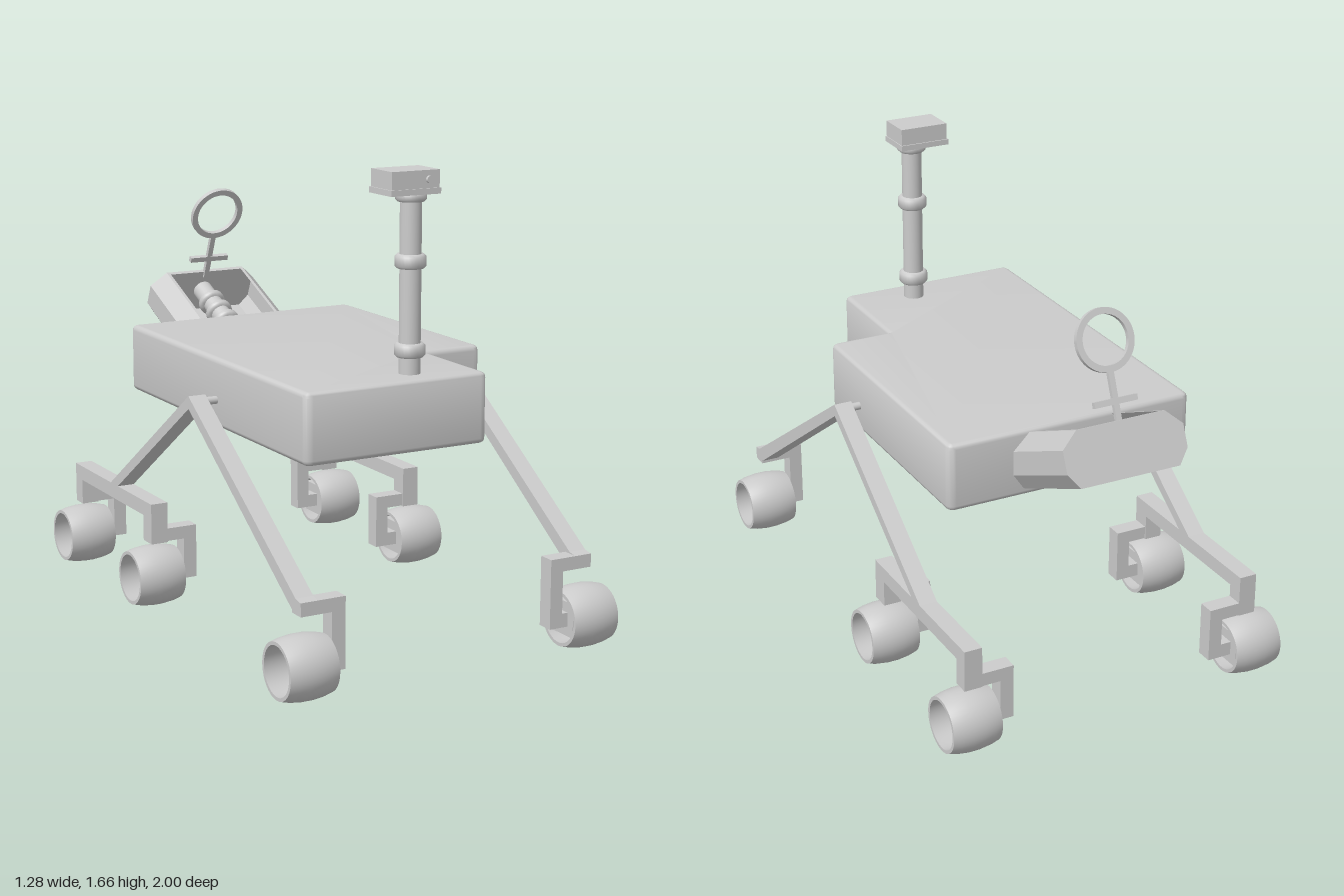
import * as THREE from 'three';
import { toCreasedNormals } from 'three/addons/utils/BufferGeometryUtils.js';

export function createModel() {
  const model = new THREE.Group();
  const grey = new THREE.MeshStandardMaterial({ color: 0xcccccc, side: THREE.DoubleSide });

  const add = (name, geometry, parent = model) => {
    const mesh = new THREE.Mesh(geometry, grey);
    mesh.name = name;
    parent.add(mesh);
    return mesh;
  };
  const box = (x0, x1, y0, y1, z0, z1) =>
    new THREE.BoxGeometry(Math.abs(x1 - x0), y1 - y0, z1 - z0)
      .translate((x0 + x1) / 2, (y0 + y1) / 2, (z0 + z1) / 2);
  const polygon = (pts) => new THREE.Shape(pts.map(([x, y]) => new THREE.Vector2(x, y)));
  const extrude = (shape, depth) => new THREE.ExtrudeGeometry(shape, { depth, bevelEnabled: false });
  const cylinder = (r, y0, y1, seg = 28) =>
    new THREE.CylinderGeometry(r, r, y1 - y0, seg).translate(0, (y0 + y1) / 2, 0);
  // collar with softened rims
  const collar = (r, y0, y1) => toCreasedNormals(new THREE.LatheGeometry([
    [0, y0], [r - 0.008, y0], [r, y0 + 0.008], [r, y1 - 0.008], [r - 0.008, y1], [0, y1],
  ].map(([x, y]) => new THREE.Vector2(x, y)), 28), 0.9);

  // polygon with rounded corners
  const roundedPolygon = (pts, r) => {
    const p = pts.map(([x, y]) => new THREE.Vector2(x, y));
    const shape = new THREE.Shape();
    p.forEach((c, i) => {
      const prev = p[(i + p.length - 1) % p.length], next = p[(i + 1) % p.length];
      const a = c.clone().add(prev.clone().sub(c).setLength(r));
      const b = c.clone().add(next.clone().sub(c).setLength(r));
      if (i) shape.lineTo(a.x, a.y); else shape.moveTo(a.x, a.y);
      shape.quadraticCurveTo(c.x, c.y, b.x, b.y);
    });
    shape.closePath();
    return shape;
  };

  // Body: slab with one front corner cut away, rounded edges
  const bevel = 0.018;
  const outline = roundedPolygon([
    [-0.442, -0.742], [0.222, -0.742], [0.222, -0.342],
    [0.452, -0.342], [0.452, 0.592], [-0.442, 0.592],
  ], 0.012);
  const body = new THREE.ExtrudeGeometry(outline, {
    depth: 0.245 - 2 * bevel, bevelThickness: bevel, bevelSize: bevel, bevelSegments: 4, curveSegments: 4,
  }).rotateX(-Math.PI / 2).translate(0, 0.735 + bevel, 0);
  add('body', toCreasedNormals(body, 0.7));

  // Mast with collars and camera head
  const mast = new THREE.Group();
  mast.name = 'mast';
  mast.position.set(0, 0, 0.643);
  model.add(mast);
  add('mastPole', cylinder(0.037, 0.97, 1.58), mast);
  [[1.037, 1.085], [1.337, 1.385], [1.56, 1.595]].forEach(([a, b]) =>
    add('mastCollar', collar(0.053, a, b), mast));
  add('headTray', box(-0.118, 0.073, 1.588, 1.608, -0.073, 0.07), mast);
  add('cameraHead', box(-0.113, 0.07, 1.606, 1.668, -0.068, 0.065), mast);
  add('cameraLens', cylinder(0.013, 0.06, 0.075, 20).rotateX(Math.PI / 2).translate(0.03, 1.637, 0), mast);

  // Wheel: open barrel ring around the x axis
  const wheelGeometry = toCreasedNormals(new THREE.LatheGeometry([
    [0.086, -0.09], [0.098, -0.09], [0.106, -0.06], [0.111, -0.02], [0.111, 0.02],
    [0.106, 0.06], [0.098, 0.09], [0.086, 0.09], [0.092, 0], [0.086, -0.09],
  ].map(([x, y]) => new THREE.Vector2(x, y)), 40).rotateZ(-Math.PI / 2), 0.7);

  // Suspension, mirrored left and right
  for (const side of [1, -1]) {
    const suspension = new THREE.Group();
    suspension.name = side > 0 ? 'leftSuspension' : 'rightSuspension';
    model.add(suspension);
    const bar = (name, x0, x1, ...yz) => add(name, box(side * x0, side * x1, ...yz), suspension);
    const plate = (name, pts) => add(name, extrude(polygon(pts), 0.065)
      .rotateY(-Math.PI / 2).translate(side > 0 ? 0.567 : -0.502, 0, 0), suspension);

    plate('rockerArm', [
      [0.915, 0.297], [0.915, 0.34], [0.885, 0.346], [0.11, 0.857],
      [-0.585, 0.385], [-0.52, 0.385], [0.11, 0.812], [0.87, 0.297],
    ]);
    plate('rearBogie', [
      [-0.215, 0.39], [-0.915, 0.39], [-0.915, 0.24], [-0.855, 0.24],
      [-0.855, 0.335], [-0.285, 0.335], [-0.285, 0.24], [-0.215, 0.24],
    ]);
    add('pivot', cylinder(0.014, 0.42, 0.52, 16).rotateZ(-side * Math.PI / 2)
      .translate(0, 0.833, 0.11), suspension);

    // wheel, its bracket and its hub: [wheel z, bracket z, inner x, bracket top]
    [[0.89, 0.89, 0.402, 0.34], [-0.25, -0.25, 0.385, 0.29], [-0.885, -0.885, 0.385, 0.29]]
      .forEach(([wz, bz, x, top]) => {
        const z0 = bz - 0.03, z1 = bz + 0.03;
        bar('bracketTop', x, 0.567, top - 0.047, top, z0, z1);
        bar('bracketPost', x, x + 0.05, 0.092, top, z0, z1);
        bar('bracketFoot', x, 0.5, 0.092, 0.142, z0, z1);
        bar('wheelHub', 0.475, 0.525, 0.057, 0.178, wz - 0.062, wz + 0.062);
        add('wheel', wheelGeometry, suspension).position.set(side * 0.55, 0.115, wz);
      });
  }

  // Tilted open housing at the back
  const housing = new THREE.Group();
  housing.name = 'rearHousing';
  housing.position.set(0.003, 1.108, -0.922);
  housing.rotation.x = 0.42;
  model.add(housing);
  const half = [[0.165, 0], [0.225, -0.055], [0.225, -0.135], [0.185, -0.188]];
  const inner = [[0.153, 0], [0.211, -0.06], [0.211, -0.13], [0.18, -0.174]];
  const mirror = (pts) => pts.map(([x, y]) => [-x, y]).reverse();
  add('housingShell', extrude(polygon([
    ...half, ...mirror(half), ...inner.map(([x, y]) => [-x, y]), ...[...inner].reverse(),
  ]), 0.45), housing);
  add('housingEnd', extrude(polygon([...half, ...mirror(half)]), 0.016), housing);

  // Ribbed generator inside the housing
  const generator = new THREE.Group();
  generator.name = 'generator';
  generator.position.set(0, -0.085, 0);
  generator.rotation.x = Math.PI / 2;
  housing.add(generator);
  add('generatorCore', cylinder(0.038, 0.01, 0.44), generator);
  [0.09, 0.16, 0.23, 0.3, 0.37].forEach((y) =>
    add('generatorRib', collar(0.052, y, y + 0.032), generator));

  // Ring antenna on a leaning stem
  const antenna = new THREE.Group();
  antenna.name = 'ringAntenna';
  antenna.position.set(0.003, 1.09, -0.912);
  antenna.rotation.x = 0.39;
  model.add(antenna);
  add('antennaStem', box(-0.01, 0.01, -0.01, 0.18, -0.008, 0.008), antenna);
  add('antennaCrossbar', box(-0.08, 0.08, 0.065, 0.085, -0.009, 0.009), antenna);
  const ring = new THREE.Shape().absarc(0, 0, 0.106, 0, Math.PI * 2);
  ring.holes.push(new THREE.Path().absarc(0, 0, 0.084, 0, Math.PI * 2, true));
  add('antennaRing', toCreasedNormals(new THREE.ExtrudeGeometry(ring, {
    depth: 0.018, bevelEnabled: false, curveSegments: 36,
  }), 0.7).translate(0, 0.276, -0.009), antenna);

  return model;
}
